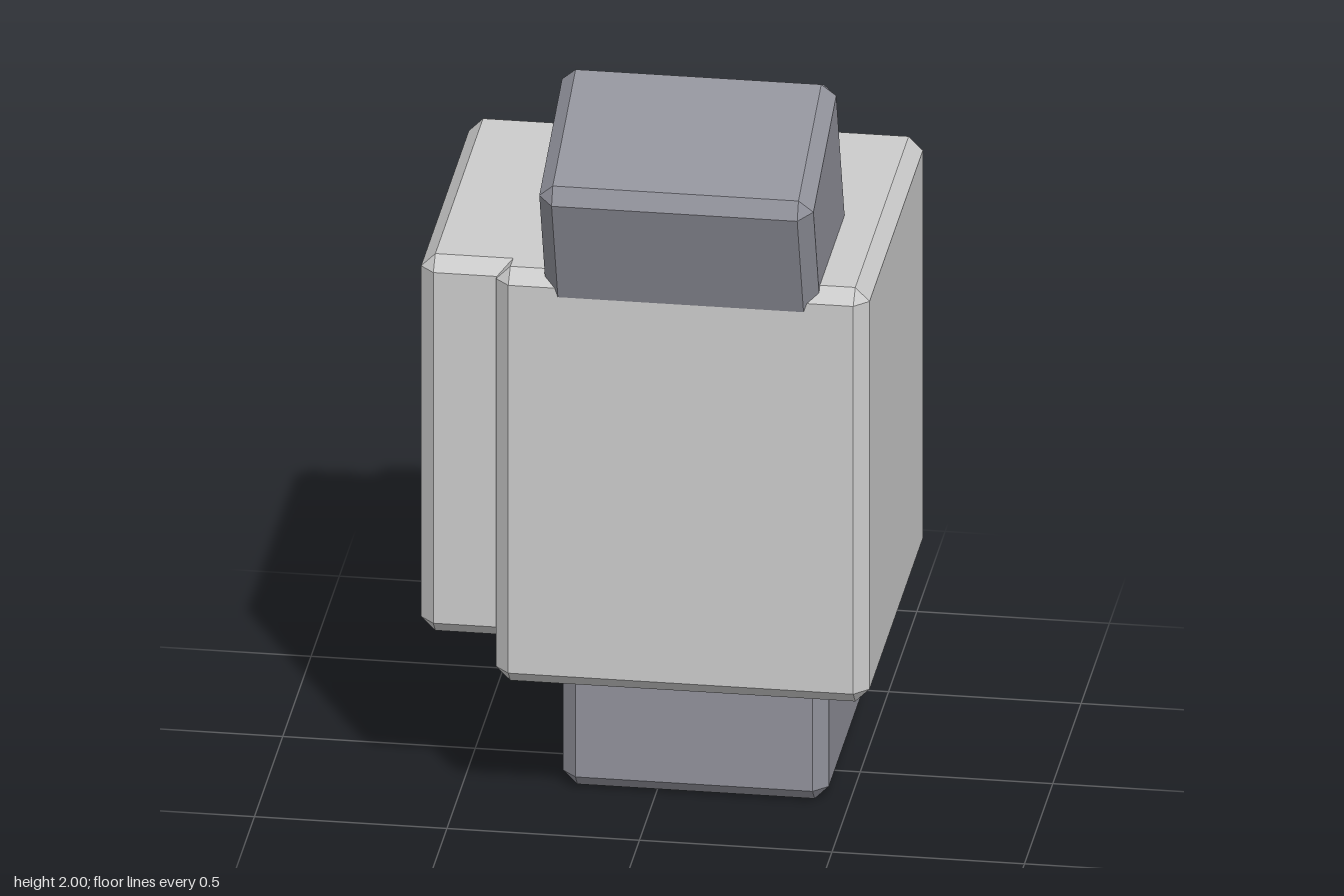
import * as THREE from 'three';
import { ConvexGeometry } from 'three/addons/geometries/ConvexGeometry.js';

const CHAMFER = 0.037;

// Box with flat bevels on all edges and triangular corners
function chamferBox(w, h, d, c = CHAMFER) {
  const points = [];
  for (const sx of [-1, 1]) for (const sy of [-1, 1]) for (const sz of [-1, 1]) {
    for (let axis = 0; axis < 3; axis++) {
      const inset = [c, c, c];
      inset[axis] = 0;
      points.push(new THREE.Vector3(
        sx * (w / 2 - inset[0]), sy * (h / 2 - inset[1]), sz * (d / 2 - inset[2])));
    }
  }
  return new ConvexGeometry(points);
}

export function createModel() {
  const model = new THREE.Group();
  const light = new THREE.MeshStandardMaterial({ color: 0xcccccc, flatShading: true });
  const dark = new THREE.MeshStandardMaterial({ color: 0x91929b, flatShading: true });

  function addBlock(name, size, position, material) {
    const mesh = new THREE.Mesh(chamferBox(...size), material);
    mesh.name = name;
    mesh.position.set(...position);
    model.add(mesh);
    return mesh;
  }

  // Large central block
  addBlock('body', [0.97, 1.17, 1.016], [0.1, 0.975, -0.057], light);
  // Slimmer slab emerging from the body's right side
  addBlock('sidePanel', [0.585, 1.065, 0.916], [-0.2945, 1.0275, -0.057], light);
  // Base post sunk into the underside
  addBlock('base', [0.69, 0.69, 0.688], [0.1, 0.345, -0.127], dark);
  // Top block tipped forward and sunk into the body's top
  const top = addBlock('tiltedTop', [0.712, 0.516, 0.503], [0.1, 1.684, 0.251], dark);
  top.rotation.x = THREE.MathUtils.degToRad(20);

  return model;
}
